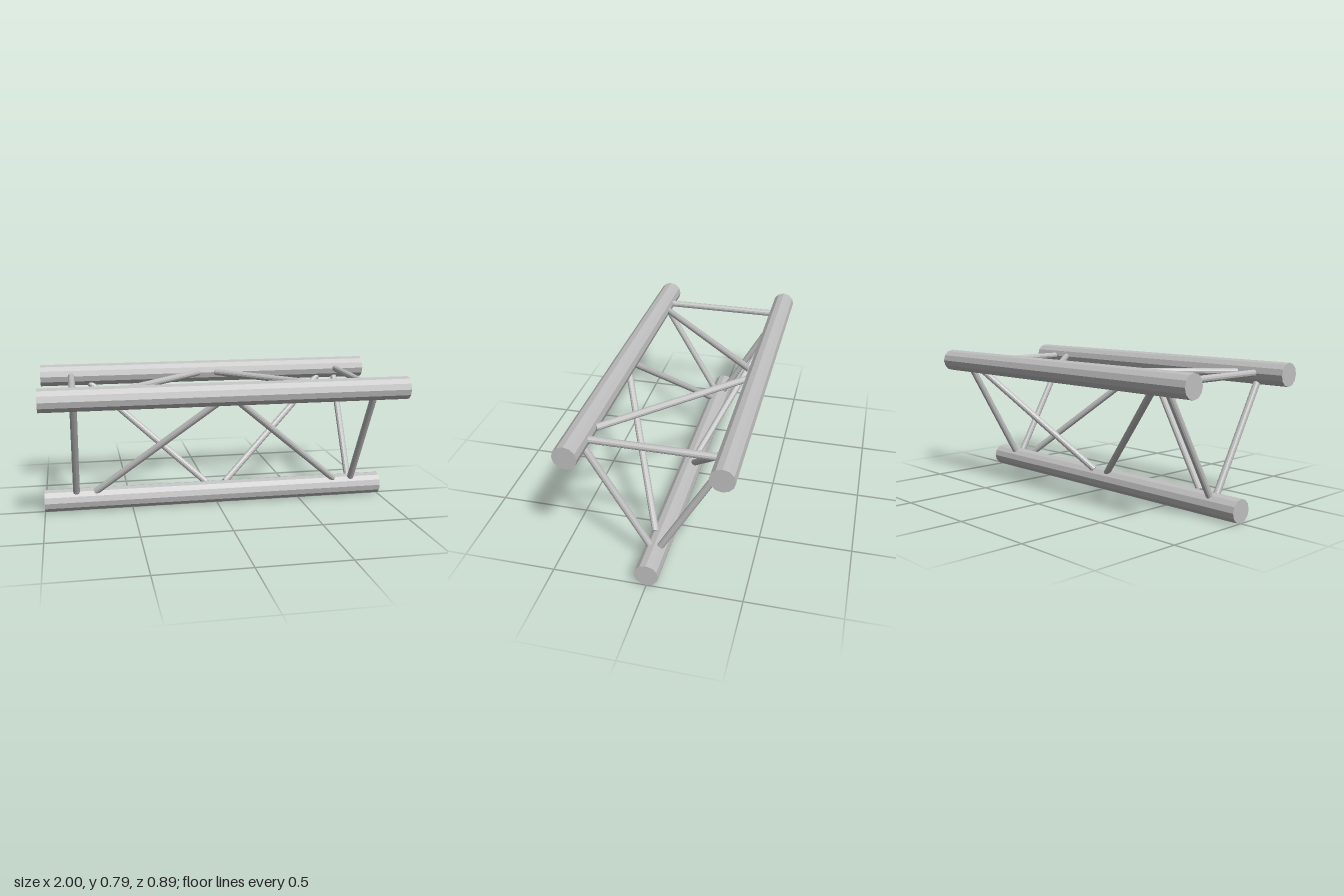
import * as THREE from 'three';

export function createModel() {
  const model = new THREE.Group();
  model.name = 'triangularTruss';
  const aluminium = new THREE.MeshStandardMaterial({ color: 0xc0c0c0 });
  aluminium.name = 'aluminium grey';

  const chordRadius = 0.064, braceRadius = 0.019;
  const weldOffset = 0.057; // distance from a chord's axis to a brace's end
  const up = new THREE.Vector3(0, 1, 0);

  // Faceted round bar between two points
  function bar(name, a, b, radius) {
    const dir = b.clone().sub(a);
    const geometry = new THREE.CylinderGeometry(radius, radius, dir.length(), 12).toNonIndexed();
    geometry.computeVertexNormals();
    const mesh = new THREE.Mesh(geometry, aluminium);
    mesh.name = name;
    mesh.position.copy(a).add(b).multiplyScalar(0.5);
    mesh.quaternion.setFromUnitVectors(up, dir.normalize());
    model.add(mesh);
  }

  // Three main chords along x
  const bottom = new THREE.Vector3(0, 0.064, 0);
  const topFront = new THREE.Vector3(0, 0.725, 0.38);
  const topBack = new THREE.Vector3(0, 0.725, -0.38);
  const chords = { bottomChord: bottom, topFrontChord: topFront, topBackChord: topBack };
  for (const [name, c] of Object.entries(chords)) {
    bar(name, c.clone().setX(-1), c.clone().setX(1), chordRadius);
  }

  // Each face: diagonals run from the outer end on the first chord to the middle of the second
  const faces = [
    ['front', bottom, topFront],
    ['back', topBack, bottom],
    ['top', topFront, topBack],
  ];
  for (const [name, from, to] of faces) {
    const step = to.clone().sub(from).setLength(weldOffset);
    const start = from.clone().add(step);
    const end = to.clone().sub(step);
    for (const side of [-1, 1]) {
      const label = side > 0 ? 'Left' : 'Right';
      bar(`${name}EndBrace${label}`, start.clone().setX(side * 0.82), end.clone().setX(side * 0.82), braceRadius);
      bar(`${name}Diagonal${label}`, start.clone().setX(side * 0.71), end.clone().setX(side * 0.055), braceRadius);
    }
  }
  return model;
}
